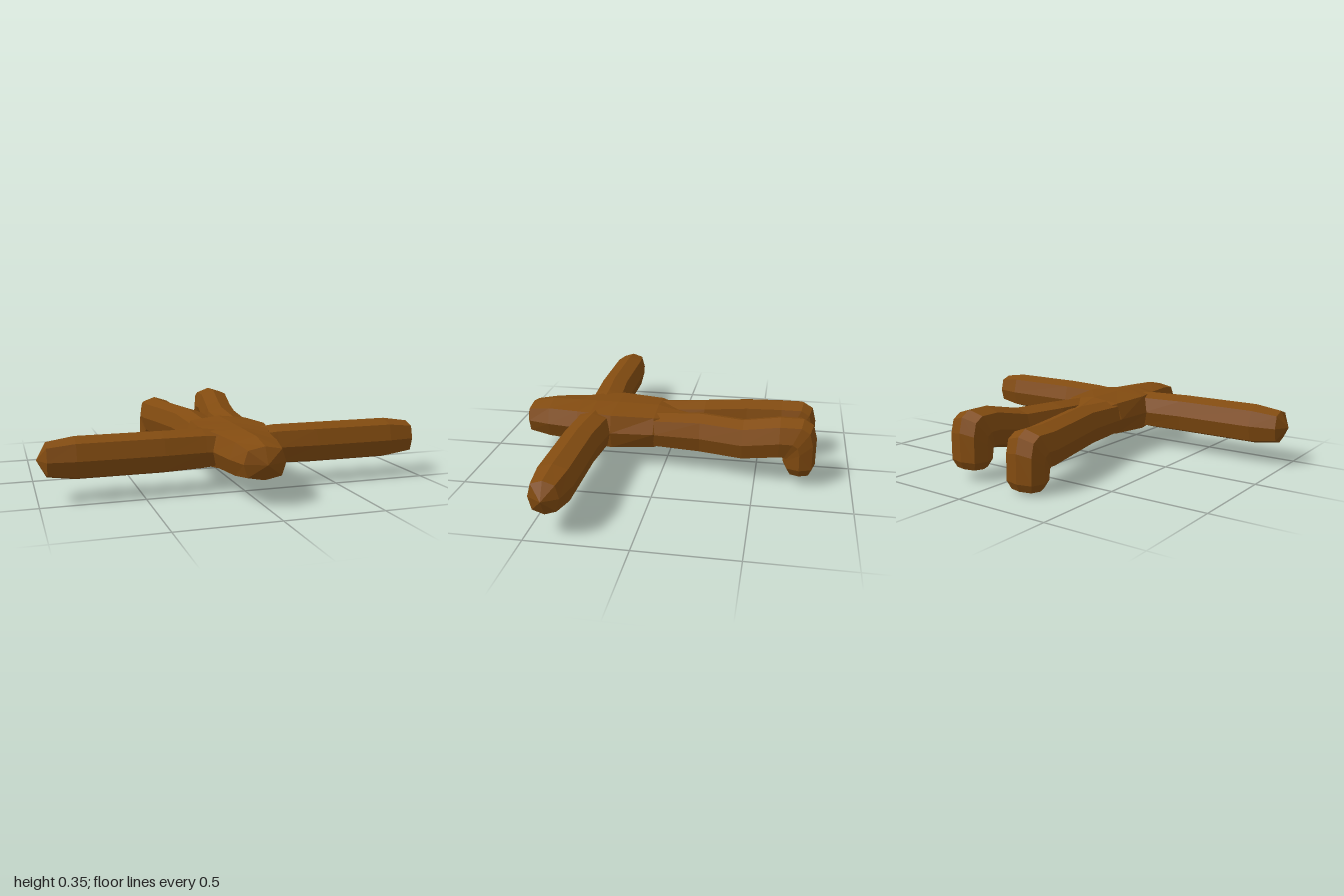
import * as THREE from 'three';

const brown = new THREE.MeshStandardMaterial({ color: 0x824b10 });
brown.name = 'brown';
brown.flatShading = true;

const V = (x, y, z) => new THREE.Vector3(x, y, z);

// Eight-sided ring: centre c, half axes u and v, k sets how square the corners are
function ring(c, u, v, k = 0.77) {
  const steps = [[1, 0], [k, k], [0, 1], [-k, k], [-1, 0], [-k, -k], [0, -1], [k, -k]];
  return steps.map(([a, b]) => c.clone().addScaledVector(u, a).addScaledVector(v, b));
}

// Skin over rings in path order (u x v points along the path)
function loft(name, rings) {
  const pos = [];
  const tri = (...pts) => pts.forEach((p) => pos.push(p.x, p.y, p.z));
  for (let r = 0; r < rings.length - 1; r++) {
    const a = rings[r], b = rings[r + 1];
    for (let i = 0; i < 8; i++) {
      const j = (i + 1) % 8;
      if (a[i].distanceTo(a[j]) > 1e-6) tri(a[i], a[j], b[i]);
      if (b[i].distanceTo(b[j]) > 1e-6) tri(a[j], b[j], b[i]);
    }
  }
  const geo = new THREE.BufferGeometry();
  geo.setAttribute('position', new THREE.Float32BufferAttribute(pos, 3));
  geo.computeVertexNormals();
  const mesh = new THREE.Mesh(geo, brown);
  mesh.name = name;
  return mesh;
}

// Torso and head along z: [z, half width, half height, corner factor]
function makeBody() {
  const sections = [
    [-0.25, 0, 0, 0.77], [-0.2, 0.05, 0.045, 0.77], [0.05, 0.19, 0.102, 0.82],
    [0.28, 0.205, 0.105, 0.88], [0.4, 0.18, 0.105, 0.86], [0.48, 0.16, 0.105, 0.8],
    [0.65, 0.135, 0.105, 0.77], [0.77, 0.105, 0.08, 0.8], [0.81, 0, 0, 0.77],
  ];
  return loft('torsoAndHead', sections.map(([z, w, h, k]) =>
    ring(V(0, 0.205, z), V(w, 0, 0), V(0, h, 0), k)));
}

// Arm along x: [x, z centre, half depth, half height]
function makeArm(s) {
  const sections = [
    [0, 0.38, 0, 0], [0.08, 0.38, 0.1, 0.09], [0.19, 0.38, 0.1, 0.102], [0.4, 0.395, 0.095, 0.105],
    [0.82, 0.395, 0.095, 0.105], [0.955, 0.4, 0.075, 0.085], [1, 0.4, 0, 0],
  ];
  return loft(s > 0 ? 'leftArm' : 'rightArm', sections.map(([x, z, d, h]) =>
    ring(V(s * x, 0.205, z), V(0, h, 0), V(0, 0, s * d))));
}

// Leg bending down into a foot: [x centre, half width, outer z, outer y, inner z, inner y]
function makeLeg(s, drop) {
  const sections = [
    [0.09, 0, 0.12, 0.205, 0.12, 0.205],
    [0.09, 0.095, 0.05, 0.295, 0.05, 0.11],
    [0.1, 0.1, -0.2, 0.31, -0.2, 0.1],
    [0.152, 0.098, -0.43, 0.31, -0.43, 0.1],
    [0.18, 0.1, -0.62, 0.35, -0.62, 0.135],
    [0.18, 0.1, -0.74, 0.35, -0.635, 0.135],
    [0.18, 0.1, -0.79, 0.32, -0.64, 0.13],
    [0.18, 0.1, -0.81, 0.245, -0.64, 0.125],
    [0.18, 0.1, -0.81, 0.1, -0.645, 0.1],
    [0.18, 0.078, -0.79, 0.06, -0.67, 0.06],
    [0.18, 0, -0.73, 0.046, -0.73, 0.046],
  ];
  return loft(s > 0 ? 'leftLeg' : 'rightLeg', sections.map(([x, w, oz, oy, iz, iy], i) => {
    const d = i > 3 ? drop : 0;
    const c = V(s * x, (oy + iy) / 2 - d, (oz + iz) / 2);
    return ring(c, V(0, (oy - iy) / 2, (oz - iz) / 2), V(w, 0, 0));
  }));
}

export function createModel() {
  const model = new THREE.Group();
  model.name = 'lyingFigure';
  model.add(makeBody());
  for (const s of [1, -1]) {
    model.add(makeArm(s));
    // The right foot sits lower than the left
    model.add(makeLeg(s, s > 0 ? 0 : 0.045));
  }
  return model;
}
